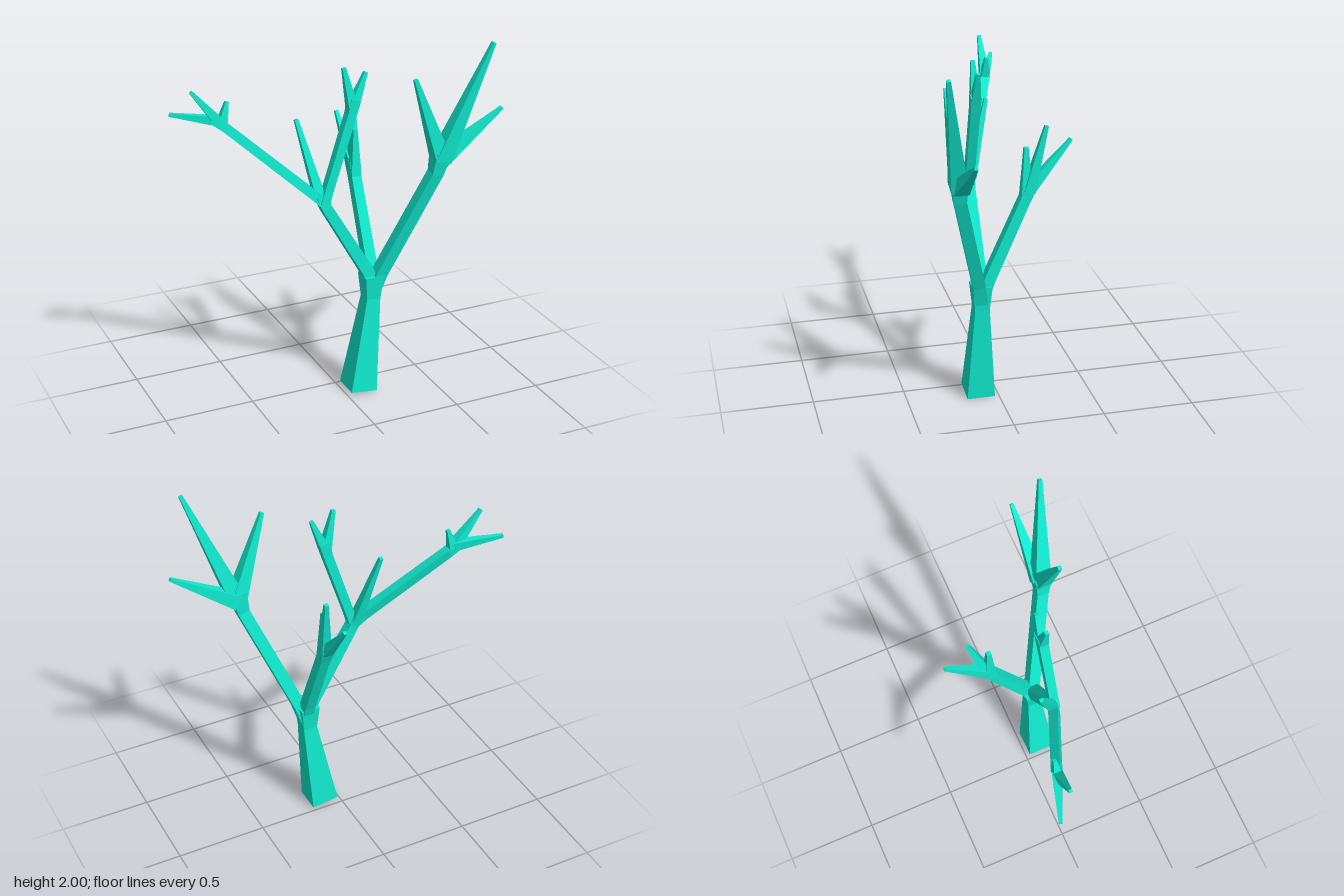
import * as THREE from 'three';

const material = new THREE.MeshStandardMaterial({ color: 0x10e8cc, flatShading: true });

// Square-section limb through stations [x, y, z, halfWidth], capped at both ends
function limb(name, stations) {
  const pts = stations.map(s => new THREE.Vector3(s[0], s[1], s[2]));
  const n = pts.length;
  const pos = [], idx = [];
  pts.forEach((p, i) => {
    const dir = new THREE.Vector3();
    if (i > 0) dir.add(p.clone().sub(pts[i - 1]).normalize());
    if (i < n - 1) dir.add(pts[i + 1].clone().sub(p).normalize());
    dir.normalize();
    const u = new THREE.Vector3(0, 0, 1).projectOnPlane(dir).normalize();
    const v = dir.clone().cross(u);
    for (const [a, b] of [[1, 1], [-1, 1], [-1, -1], [1, -1]]) {
      const c = p.clone().addScaledVector(u, a * stations[i][3]).addScaledVector(v, b * stations[i][3]);
      pos.push(c.x, c.y, c.z);
    }
  });
  for (let i = 0; i < n - 1; i++) {
    for (let k = 0; k < 4; k++) {
      const a = i * 4 + k, b = i * 4 + (k + 1) % 4;
      idx.push(a, b, b + 4, a, b + 4, a + 4);
    }
  }
  const e = (n - 1) * 4;
  idx.push(0, 2, 1, 0, 3, 2, e, e + 1, e + 2, e, e + 2, e + 3);
  const indexed = new THREE.BufferGeometry();
  indexed.setAttribute('position', new THREE.Float32BufferAttribute(pos, 3));
  indexed.setIndex(idx);
  const geo = indexed.toNonIndexed();
  geo.computeVertexNormals();
  const mesh = new THREE.Mesh(geo, material);
  mesh.name = name;
  return mesh;
}

export function createModel() {
  const tree = new THREE.Group();
  tree.name = 'bareTree';
  const add = (name, ...stations) => tree.add(limb(name, stations));

  // Trunk, flaring at the fork
  add('trunk', [0.095, 0.012, 0.1, 0.077], [0.165, 0.55, 0.1, 0.04], [0.166, 0.685, 0.1, 0.053]);

  // Right-hand bough with its three twigs and a long arm
  add('rightBough', [0.165, 0.64, 0.1, 0.035], [0.135, 0.72, 0.1, 0.033], [-0.1, 1.12, 0.098, 0.028], [-0.135, 1.2, 0.09, 0.026]);
  add('rightArm', [-0.11, 1.15, 0.095, 0.028], [-0.17, 1.205, 0.075, 0.026], [-0.575, 1.575, -0.1, 0.024], [-0.645, 1.625, -0.115, 0.022]);
  add('rightArmTwigOuter', [-0.6, 1.61, -0.11, 0.025], [-0.84, 1.65, -0.2, 0.009]);
  add('rightArmTwigMiddle', [-0.6, 1.6, -0.105, 0.027], [-0.75, 1.785, -0.11, 0.009]);
  add('rightArmTwigInner', [-0.59, 1.6, -0.105, 0.024], [-0.56, 1.71, -0.107, 0.009]);
  add('rightBackTwig', [-0.13, 1.18, 0.085, 0.027], [-0.215, 1.59, -0.02, 0.01]);

  // Upright arm with a two-way tip
  add('centreArm', [-0.115, 1.14, 0.1, 0.026], [-0.09, 1.22, 0.1, 0.024], [0.04, 1.62, 0.1, 0.025], [0.06, 1.7, 0.1, 0.028]);
  add('centreTwigRight', [0.047, 1.66, 0.1, 0.026], [0, 1.872, 0.1, 0.01]);
  add('centreTwigLeft', [0.052, 1.66, 0.1, 0.026], [0.124, 1.836, 0.1, 0.01]);

  // Left-hand bough with three long twigs
  add('leftBough', [0.175, 0.58, 0.1, 0.032], [0.21, 0.7, 0.122, 0.033], [0.45, 1.29, 0.275, 0.032], [0.475, 1.41, 0.285, 0.045]);
  add('leftTwigInner', [0.47, 1.38, 0.285, 0.042], [0.304, 1.83, 0.308, 0.01]);
  add('leftTwigTall', [0.475, 1.37, 0.285, 0.045], [0.71, 1.995, 0.38, 0.01]);
  add('leftTwigOuter', [0.48, 1.365, 0.275, 0.04], [0.835, 1.598, 0.278, 0.009]);

  // Rear bough with three twigs
  add('rearBough', [0.175, 0.64, 0.09, 0.033], [0.178, 0.72, 0.06, 0.031], [0.178, 1.16, -0.135, 0.028], [0.18, 1.24, -0.17, 0.031]);
  add('rearTwigLong', [0.18, 1.2, -0.15, 0.03], [0.179, 1.467, -0.38, 0.009]);
  add('rearTwigSide', [0.182, 1.2, -0.155, 0.03], [0.212, 1.56, -0.238, 0.01]);
  add('rearTwigUpright', [0.178, 1.17, -0.14, 0.029], [0.178, 1.44, -0.14, 0.012]);

  return tree;
}
